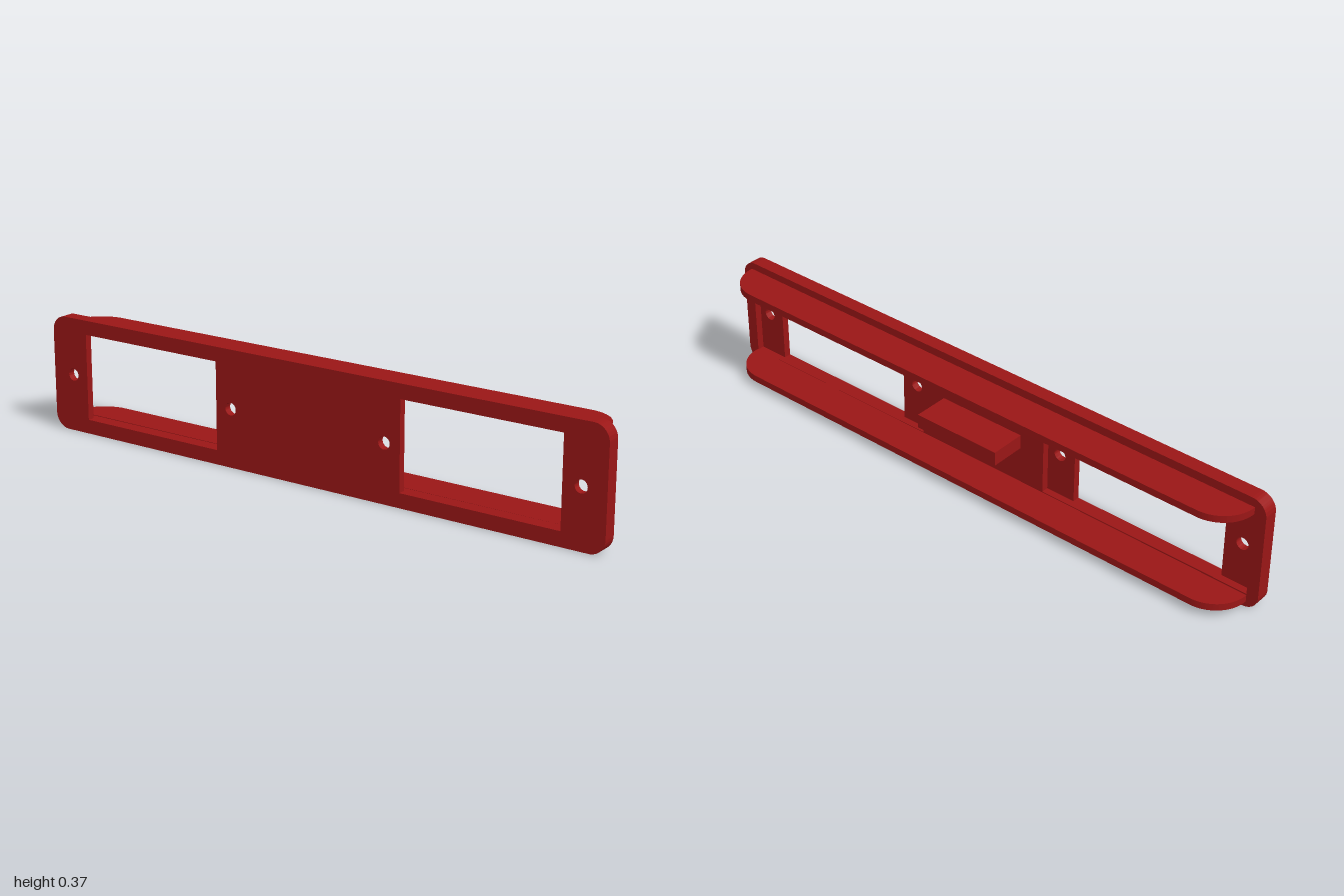
import * as THREE from 'three';
import { toCreasedNormals } from 'three/addons/utils/BufferGeometryUtils.js';

const material = new THREE.MeshStandardMaterial({ color: 0x9a1616 });
const HEIGHT = 0.373, MID = HEIGHT / 2;
const BACK = 0.036, STEP = 0.059, FRONT = 0.082; // z levels of the plate
const LOW = 0.046, HIGH = HEIGHT - 0.046;        // opening between the rails

function addMesh(group, name, geometry) {
  const mesh = new THREE.Mesh(geometry, material);
  mesh.name = name;
  group.add(mesh);
  return mesh;
}

function extrude(shape, depth) {
  const geometry = new THREE.ExtrudeGeometry(shape, { depth, bevelEnabled: false, curveSegments: 16 });
  return toCreasedNormals(geometry, 0.6);
}

function plateOutline() {
  const r = 0.05, s = new THREE.Shape();
  s.absarc(1 - r, r, r, -Math.PI / 2, 0);
  s.absarc(1 - r, HEIGHT - r, r, 0, Math.PI / 2);
  s.absarc(-1 + r, HEIGHT - r, r, Math.PI / 2, Math.PI);
  s.absarc(-1 + r, r, r, Math.PI, Math.PI * 1.5);
  s.closePath();
  return s;
}

function rectHole(x0, x1) {
  return new THREE.Path([
    new THREE.Vector2(x0, LOW), new THREE.Vector2(x0, HIGH),
    new THREE.Vector2(x1, HIGH), new THREE.Vector2(x1, LOW),
  ]);
}

function roundHole(x) {
  return new THREE.Path().absarc(x, MID, 0.02, 0, Math.PI * 2, true);
}

export function createModel() {
  const group = new THREE.Group();
  group.name = 'mountingPlate';

  // Front layer has windows and screw holes; back layer has wider recesses
  const face = plateOutline(), frame = plateOutline();
  for (const s of [-1, 1]) {
    face.holes.push(rectHole(s * 0.335, s * 0.862), roundHole(s * 0.28), roundHole(s * 0.92));
    frame.holes.push(rectHole(s * 0.236, s * 0.962));
  }
  addMesh(group, 'facePlate', extrude(face, FRONT - STEP)).position.z = STEP;
  addMesh(group, 'recessFrame', extrude(frame, STEP - BACK)).position.z = BACK;

  // Rails along the back, with rounded rear corners
  const r = 0.112, end = 0.965, rear = -0.081;
  const rail = new THREE.Shape();
  rail.moveTo(-end, BACK);
  rail.absarc(-end + r, rear + r, r, Math.PI, Math.PI * 1.5);
  rail.absarc(end - r, rear + r, r, Math.PI * 1.5, Math.PI * 2);
  rail.lineTo(end, BACK);
  rail.closePath();
  const railGeometry = extrude(rail, 0.0225).rotateX(Math.PI / 2);
  addMesh(group, 'lowerRail', railGeometry).position.y = LOW;
  addMesh(group, 'upperRail', railGeometry).position.y = HIGH + 0.0225;

  // Central tab
  const tab = addMesh(group, 'centreTab', new THREE.BoxGeometry(0.3, 0.046, BACK - rear));
  tab.position.set(0, MID, (BACK + rear) / 2);

  return group;
}
